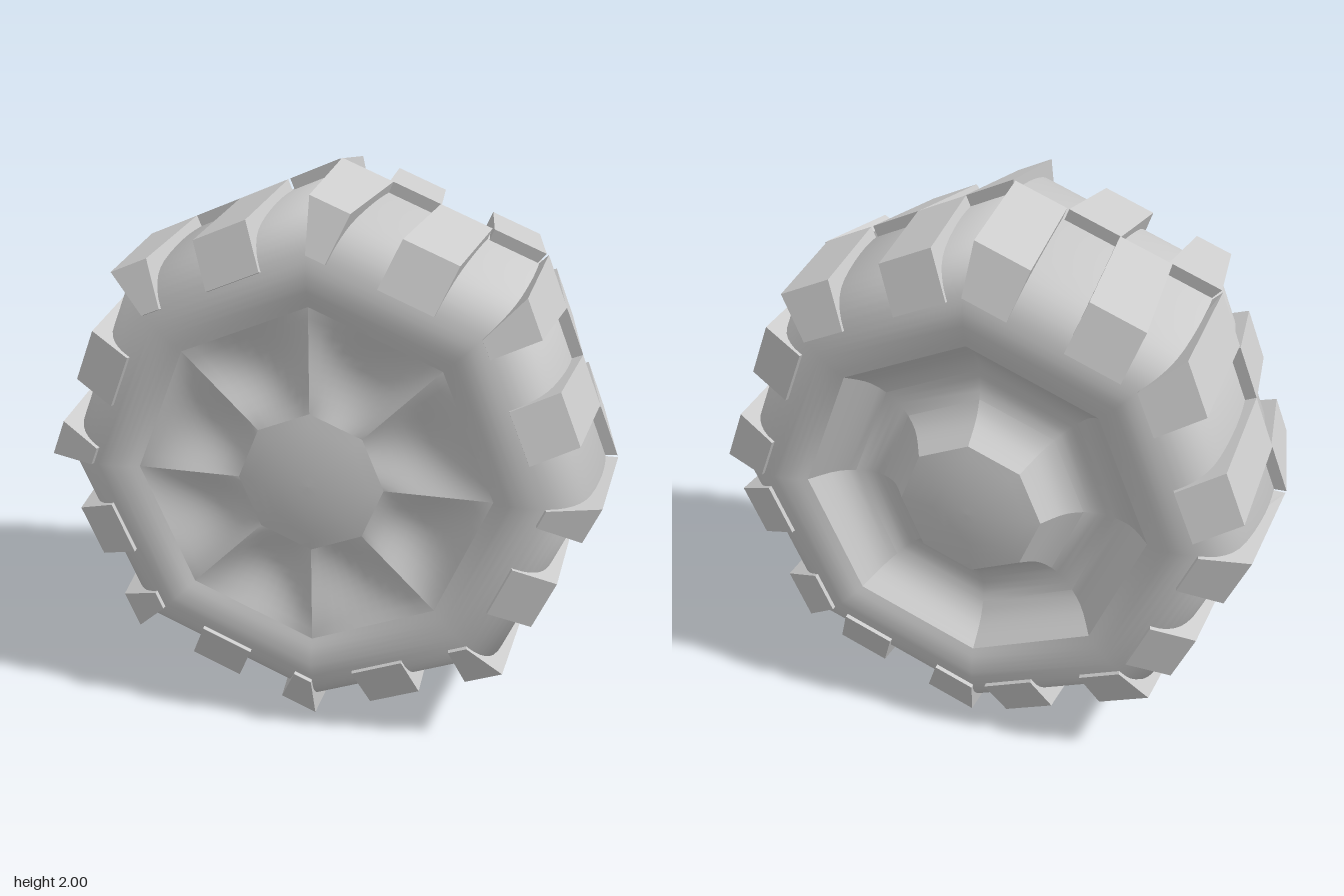
import * as THREE from 'three';
import { toCreasedNormals } from 'three/addons/utils/BufferGeometryUtils.js';

const SIDES = 8;
const STEP = (Math.PI * 2) / SIDES;
const SIDE_LENGTH = 2 * Math.sin(STEP / 2);
const HUB_RADIUS = 0.25;
const RIM_RADIUS = 0.61;
const FACE_Z = 0.462;

const smooth = new THREE.MeshStandardMaterial({ color: 0xcccccc });
const faceted = new THREE.MeshStandardMaterial({ color: 0xcccccc, flatShading: true });

const toPoints = (list) => list.map(([r, z]) => new THREE.Vector2(r, z));

// Eight-sided turned ring about the z axis; profile pairs are (radius, z), back to front
function turned(points) {
  return new THREE.LatheGeometry(points, SIDES).rotateX(Math.PI / 2);
}

function addMesh(parent, name, geometry, material) {
  const mesh = new THREE.Mesh(geometry, material);
  mesh.name = name;
  parent.add(mesh);
  return mesh;
}

// Tread lug: wedge profile in (z, radius), extruded along one octagon side,
// skewed, and cut off where the side ends
function lugGeometry(end, start, width) {
  const skew = 0.035;
  const profile = [[0, 0.924], [0.43, 0.88], [0.488, 0.72], [0.4, 0.7], [0, 0.82]];
  const shape = new THREE.Shape(profile.map(([z, r]) => new THREE.Vector2(z * end, r)));
  const geometry = new THREE.ExtrudeGeometry(shape, { depth: width, bevelEnabled: false });
  geometry.rotateY(-Math.PI / 2).translate(-start, 0, 0);
  const p = geometry.attributes.position;
  for (let i = 0; i < p.count; i++) {
    const limit = p.getY(i) * Math.tan(STEP / 2);
    const x = p.getX(i) - (skew * Math.abs(p.getZ(i))) / 0.43;
    p.setX(i, THREE.MathUtils.clamp(x, -limit, limit));
  }
  geometry.computeVertexNormals();
  return geometry;
}

// Front wheel panel: one wedge between hub and rim, hollowed in the middle
function panelGeometry(depth) {
  const geometry = new THREE.PlaneGeometry(1, 1, 10, 10);
  const p = geometry.attributes.position;
  for (let i = 0; i < p.count; i++) {
    const u = p.getX(i);
    const v = p.getY(i);
    const r = THREE.MathUtils.lerp(HUB_RADIUS, RIM_RADIUS, v + 0.5);
    const hollow = depth * Math.cos(Math.PI * u) * Math.cos(Math.PI * v);
    p.setXYZ(i, 2 * u * r * Math.sin(STEP / 2), r * Math.cos(STEP / 2), FACE_Z - hollow);
  }
  geometry.computeVertexNormals();
  return geometry;
}

export function createModel() {
  const model = new THREE.Group();
  model.name = 'wheel';
  const wheel = new THREE.Group();
  wheel.name = 'wheelAssembly';
  wheel.position.y = 1;
  model.add(wheel);

  // Tyre carcass with rounded shoulders
  const half = [[RIM_RADIUS, FACE_Z], [0.67, 0.48], [0.75, 0.48], [0.84, 0.446], [0.905, 0.36], [0.945, 0.18]];
  const carcass = [
    ...half.map(([r, z]) => [r, -z]),
    [0.957, 0],
    ...half.slice().reverse(),
  ];
  const curve = new THREE.SplineCurve(toPoints(carcass));
  addMesh(wheel, 'tyre', turned(curve.getPoints(40)), smooth);

  // Front face: eight hollowed panels
  const panel = panelGeometry(0.05);
  for (let i = 0; i < SIDES; i++) {
    addMesh(wheel, 'frontPanel', panel, smooth).rotation.z = (i + 0.5) * STEP;
  }

  // Back dish: rounded channel with creased sectors
  const backCurve = new THREE.SplineCurve(toPoints([
    [HUB_RADIUS, -FACE_Z], [0.32, -0.375], [0.42, -0.34], [0.53, -0.375], [RIM_RADIUS, -FACE_Z]]));
  addMesh(wheel, 'backDish', toCreasedNormals(turned(backCurve.getPoints(16)), 0.3), smooth);

  // Domed hub caps on both faces
  const dome = [];
  for (let i = 0; i <= 6; i++) {
    const t = 1 - i / 6;
    dome.push([HUB_RADIUS * t, FACE_Z + 0.028 * (1 - t * t)]);
  }
  const cap = turned(toPoints(dome));
  addMesh(wheel, 'frontHub', cap, smooth);
  addMesh(wheel, 'backHub', cap, smooth).rotation.y = Math.PI;

  // Two staggered rows of lugs, two per octagon side in each row
  const rows = [
    { name: 'frontTreadLug', end: 1, starts: [0.27, 0.75] },
    { name: 'backTreadLug', end: -1, starts: [0.01, 0.515] },
  ];
  for (const { name, end, starts } of rows) {
    for (const u of starts) {
      const geometry = lugGeometry(end, (u - 0.5) * SIDE_LENGTH, 0.25 * SIDE_LENGTH);
      for (let i = 0; i < SIDES; i++) {
        addMesh(wheel, name, geometry, faceted).rotation.z = (i + 0.5) * STEP;
      }
    }
  }
  return model;
}
